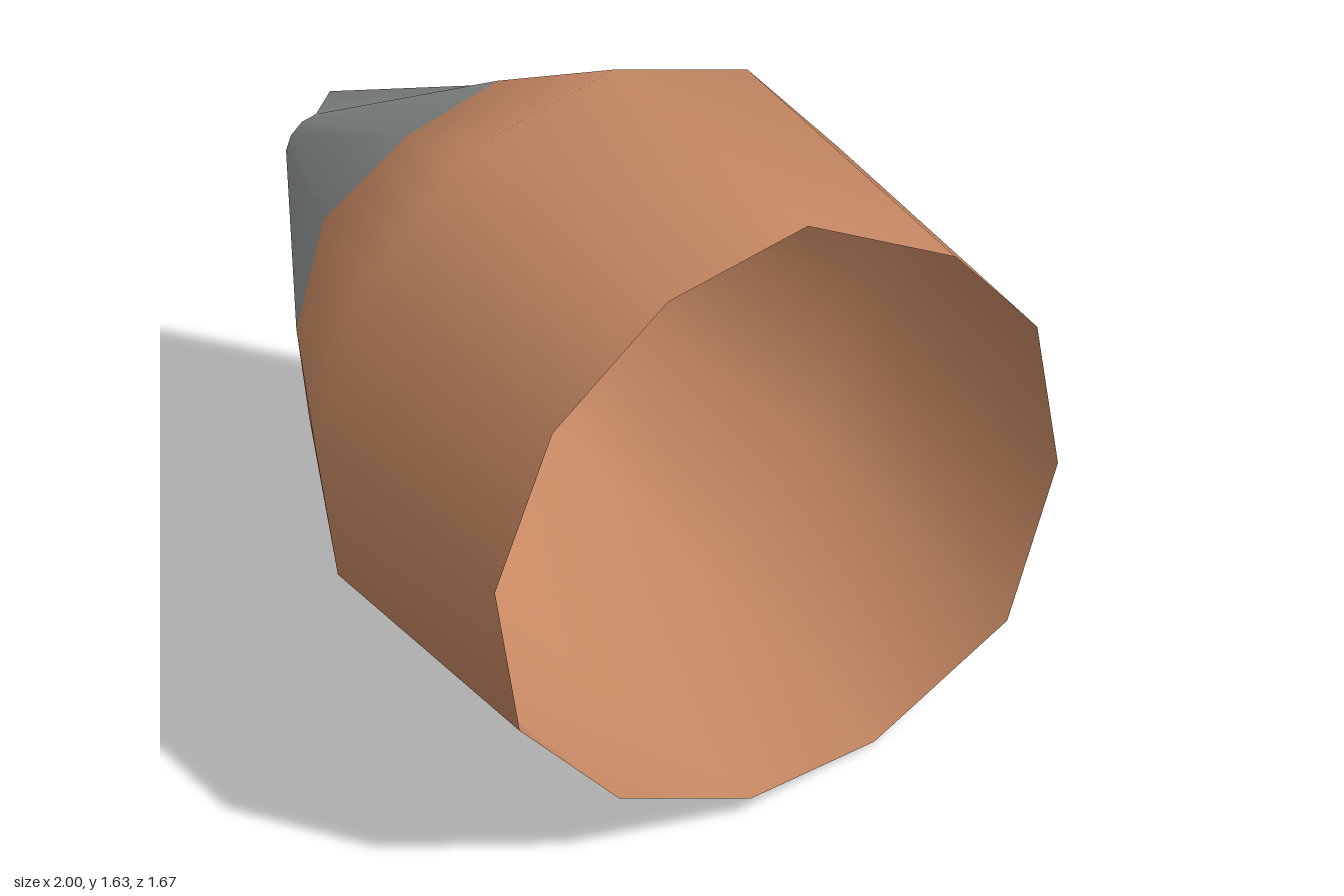
import * as THREE from 'three';

const SIDES = 12;
const TWIST = -0.11;

// Evenly spaced ring around the x axis; xAt gives the station for each corner
function ring(radius, cy, xAt) {
  return Array.from({ length: SIDES }, (_, j) => {
    const a = TWIST + (j / SIDES) * Math.PI * 2;
    return [xAt(j, a), cy + radius * Math.cos(a), radius * Math.sin(a)];
  });
}

export function createModel() {
  const copper = new THREE.MeshStandardMaterial({ color: 0xc98a64 });
  copper.name = 'copper';
  const grey = new THREE.MeshStandardMaterial({ color: 0x8d9390 });
  grey.name = 'grey';
  copper.side = grey.side = THREE.DoubleSide;

  // Blunt tip with one corner bent outwards
  const tip = ring(0.08, 0.81, () => -1);
  tip[11] = [-1, 0.94, -0.05];

  // Slightly ragged colour border, then the shoulder
  const border = ring(0.545, 0.815, (j) => -0.31 + 0.02 * Math.sin(j * 2.3));
  const shoulder = ring(0.812, 0.822, (j, a) => 0.155 - 0.02 * Math.cos(a));

  // Uneven open rim
  const rim = [
    [0.95, 1.63, -0.09], [0.96, 1.58, 0.33], [0.96, 1.33, 0.67], [0.96, 0.93, 0.84],
    [0.965, 0.5, 0.77], [0.97, 0.19, 0.48], [0.98, 0.045, 0.1], [0.9, 0, -0.32],
    [0.96, 0.25, -0.67], [0.945, 0.64, -0.83], [0.965, 1.08, -0.755], [1, 1.41, -0.49],
  ];

  const rings = [tip, border, shoulder, rim];
  const positions = [...rings.flat(2), -1, 0.81, 0];
  const centre = SIDES * rings.length;
  const index = [];

  // Tip cap
  for (let j = 0; j < SIDES; j++) index.push(centre, (j + 1) % SIDES, j);

  // Skin between neighbouring rings
  for (let i = 0; i < rings.length - 1; i++) {
    for (let j = 0; j < SIDES; j++) {
      const a = i * SIDES + j;
      const b = i * SIDES + ((j + 1) % SIDES);
      index.push(a, b, a + SIDES, b, b + SIDES, a + SIDES);
    }
  }

  const geometry = new THREE.BufferGeometry();
  geometry.setAttribute('position', new THREE.Float32BufferAttribute(positions, 3));
  geometry.setIndex(index);
  geometry.computeVertexNormals();

  // Grey nose, copper body
  const noseCount = SIDES * 3 + SIDES * 6;
  geometry.addGroup(0, noseCount, 0);
  geometry.addGroup(noseCount, index.length - noseCount, 1);

  const shell = new THREE.Mesh(geometry, [grey, copper]);
  shell.name = 'pointedShell';

  const group = new THREE.Group();
  group.name = 'hollowCone';
  group.add(shell);
  return group;
}
